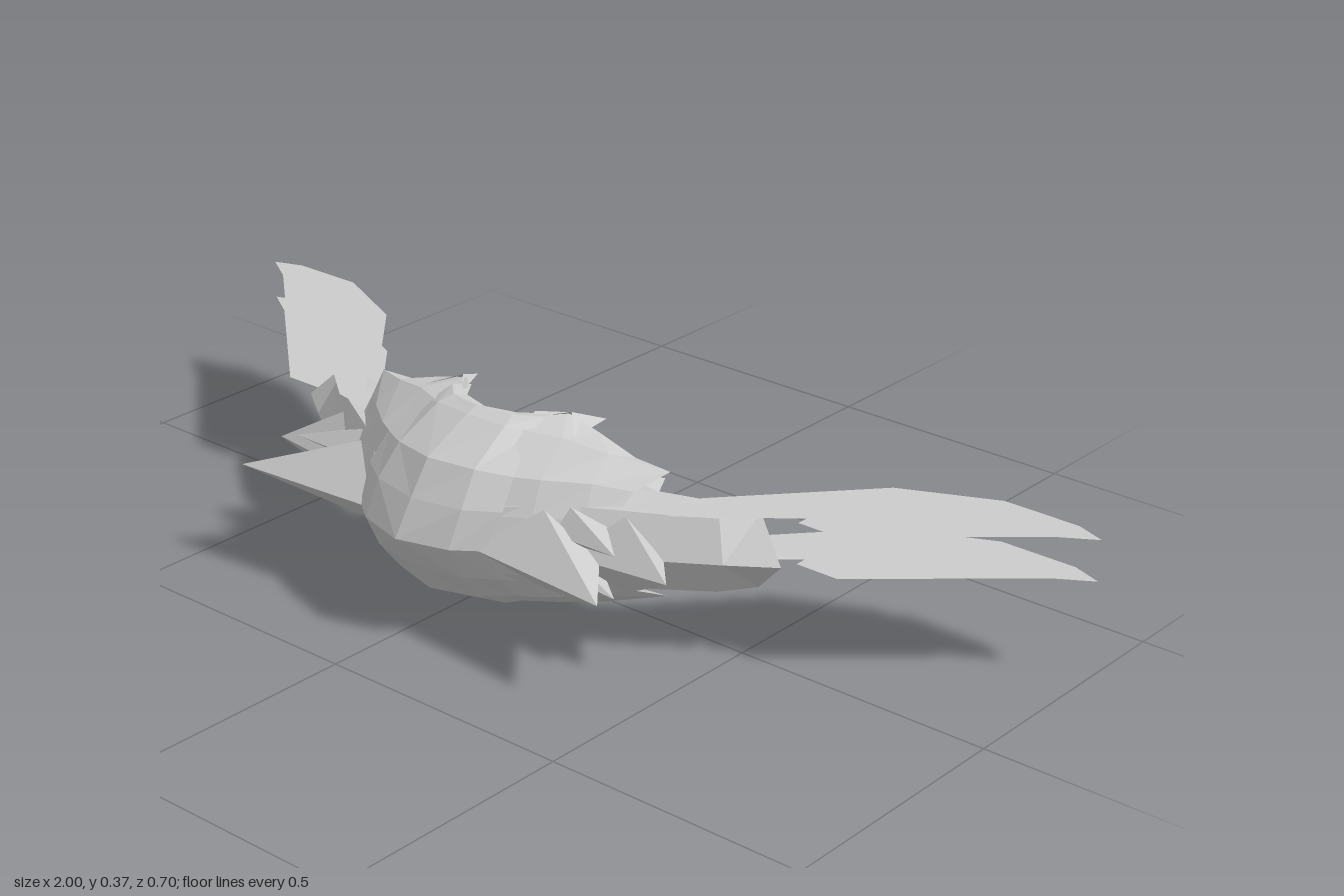
import * as THREE from 'three';

const MID = 0.185; // height of the horizontal mirror plane
const shellGrey = new THREE.MeshStandardMaterial({ color: 0xcccccc, side: THREE.DoubleSide, flatShading: true });
shellGrey.name = 'shellGrey';

// mesh from triangles of [x, y, z] points, mirrored by sx (left/right) and sy (about MID)
function facetMesh(name, tris, sx = 1, sy = 1) {
  const pos = [];
  for (const t of tris) {
    const order = sx * sy < 0 ? [t[0], t[2], t[1]] : t;
    for (const [x, y, z] of order) pos.push(x * sx, MID + (y - MID) * sy, z);
  }
  const g = new THREE.BufferGeometry();
  g.setAttribute('position', new THREE.Float32BufferAttribute(pos, 3));
  g.computeVertexNormals();
  const m = new THREE.Mesh(g, shellGrey);
  m.name = name;
  return m;
}

// skin between neighbouring cross-sections
function loft(sections) {
  const tris = [];
  for (let i = 0; i < sections.length - 1; i++) {
    const a = sections[i], b = sections[i + 1];
    for (let j = 0; j < a.length - 1; j++) {
      tris.push([a[j], b[j], b[j + 1]], [a[j], b[j + 1], a[j + 1]]);
    }
  }
  return tris;
}

// pyramid from a ring of base points to a tip
function spike(base, tip) {
  return base.map((p, i) => [p, base[(i + 1) % base.length], tip]);
}

export function createModel() {
  const root = new THREE.Group();
  root.name = 'wingedShell';

  // parts above the mirror plane, repeated below it
  const halfParts = {
    // ridge, brow, shoulder, crown, rear rim
    Dome: loft([
      [[0, MID, 0.347], [0, 0.25, 0.306], [0, 0.312, 0.262], [0, 0.362, 0.16], [0, 0.37, 0.135], [0, 0.362, 0.115]],
      [[0.1, MID, 0.318], [0.1, 0.25, 0.285], [0.09, 0.308, 0.24], [0.08, 0.358, 0.15], [0.07, 0.367, 0.12], [0.06, 0.36, 0.095]],
      [[0.15, MID, 0.28], [0.16, 0.25, 0.245], [0.15, 0.3, 0.205], [0.12, 0.345, 0.13], [0.11, 0.362, 0.08], [0.1, 0.352, 0.04]],
    ]),
    // plate from under the dome out to a pointed shoulder
    ShoulderPlate: loft([
      [[0.13, 0.24, 0.258], [0.13, 0.3, 0.215], [0.1, 0.352, 0.135], [0.08, 0.361, 0.07]],
      [[0.2, 0.24, 0.215], [0.19, 0.298, 0.18], [0.17, 0.345, 0.1], [0.12, 0.357, 0.03]],
      [[0.27, 0.24, 0.16], [0.26, 0.293, 0.125], [0.25, 0.328, 0.07], [0.19, 0.337, 0.025]],
      [[0.31, 0.25, 0.115], [0.315, 0.28, 0.08], [0.345, 0.305, 0.017], [0.27, 0.31, 0.02]],
    ]),
    // ridge, top edge, inner rim
    Arm: loft([
      [[0.13, MID, 0.285], [0.15, 0.255, 0.24], [0.13, 0.262, 0.17]],
      [[0.25, MID, 0.21], [0.24, 0.26, 0.165], [0.19, 0.265, 0.08]],
      [[0.385, MID, 0.12], [0.37, 0.257, 0.085], [0.29, 0.262, 0.03]],
      [[0.49, MID, 0.05], [0.46, 0.255, 0.025], [0.38, 0.262, 0.0]],
      [[0.57, MID, -0.008], [0.5, 0.257, -0.04], [0.42, 0.26, -0.015]],
    ]),
    CrownHorn: spike([[0.08, 0.355, 0.09], [0.13, 0.36, 0.03], [0.18, 0.342, 0.08], [0.13, 0.338, 0.05]], [0.155, 0.333, -0.036]),
    BackHorn: spike([[0.22, 0.275, 0.06], [0.26, 0.285, 0.04], [0.33, 0.265, 0.03], [0.27, 0.262, 0.04]], [0.3, 0.265, -0.025]),
    BrowSpike: spike([[0.24, 0.22, 0.205], [0.25, 0.262, 0.17], [0.31, 0.235, 0.145], [0.27, 0.2, 0.18]], [0.383, 0.225, 0.21]),
  };

  // spikes lying on the mirror plane
  const ridgeSpikes = {
    frontSpike: spike([[0.12, MID, 0.285], [0.22, 0.26, 0.205], [0.32, MID, 0.175], [0.22, 0.11, 0.205]], [0.428, MID, 0.308]),
    sideSpike: spike([[0.26, MID, 0.2], [0.34, 0.258, 0.13], [0.4, MID, 0.1], [0.34, 0.112, 0.13]], [0.465, MID, 0.172]),
    wristSpur: spike([[0.42, MID, 0.05], [0.46, 0.193, 0.02], [0.5, MID, 0.02], [0.46, 0.177, 0.02]], [0.577, MID, -0.067]),
  };

  // flat wing outline in x, z
  const outline = [[0.3, 0.1], [0.406, -0.027], [0.615, -0.267], [0.79, -0.35], [0.94, -0.35], [0.998, -0.328],
    [0.93, -0.285], [0.663, -0.043], [0.577, -0.043], [0.577, -0.067], [0.5, 0.0], [0.4, 0.08]];
  const wingShape = new THREE.Shape(outline.map(([x, z]) => new THREE.Vector2(x, -z)));

  for (const sx of [1, -1]) {
    const side = new THREE.Group();
    side.name = sx > 0 ? 'leftSide' : 'rightSide';
    root.add(side);
    for (const [name, tris] of Object.entries(ridgeSpikes)) side.add(facetMesh(name, tris, sx));
    for (const [half, sy, wingY] of [['upper', 1, 0.26], ['lower', -1, 0.182]]) {
      for (const [name, tris] of Object.entries(halfParts)) side.add(facetMesh(half + name, tris, sx, sy));
      // two thin stacked wing sheets
      const wing = new THREE.Mesh(new THREE.ShapeGeometry(wingShape).rotateX(-Math.PI / 2), shellGrey);
      wing.name = half + 'Wing';
      wing.position.y = wingY;
      wing.scale.x = sx;
      side.add(wing);
    }
  }
  return root;
}
